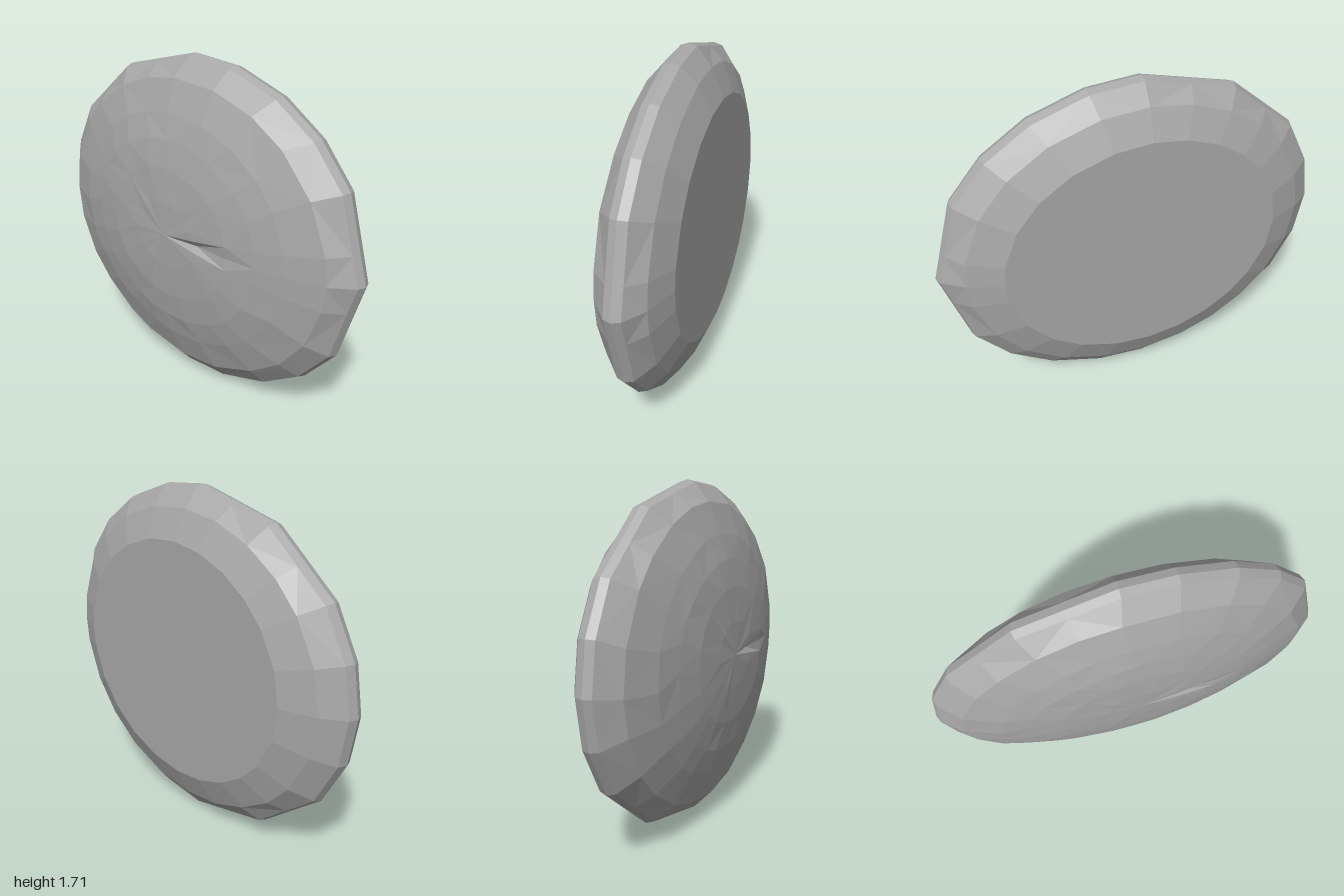
import * as THREE from 'three';

export function createModel() {
  const group = new THREE.Group();
  group.name = 'flatStone';
  const stone = new THREE.MeshStandardMaterial({ color: 0xa8a8a8, flatShading: true });
  stone.name = 'stone grey';

  const HALF_HEIGHT = 0.857;
  // Spoke angles of the upper half; mirrored below. The rim skips some of them, giving longer chords.
  const upper = [10, 28, 44, 60, 77, 92, 106, 120, 134, 147, 164];
  const spokes = [0, ...upper, 180, ...upper.map(a => 360 - a).reverse()];
  const chords = { 10: [0, 28], 106: [92, 120], 134: [120, 147] };

  // Rings from the front centre, over the rim, to the flat back: [scale, z]
  const rings = [
    [0, 0.213], [0.2, 0.209], [0.4, 0.196], [0.56, 0.172], [0.7, 0.14], [0.88, 0.083],
    [0.985, 0], [1, -0.038], [0.985, -0.08], [0.88, -0.153], [0.71, -0.215], [0, -0.215],
  ];

  const onEllipse = deg => {
    const t = THREE.MathUtils.degToRad(deg);
    return new THREE.Vector2(Math.cos(t), HALF_HEIGHT * Math.sin(t));
  };
  const onRim = deg => {
    const low = deg > 180;
    const span = chords[low ? 360 - deg : deg];
    if (!span) return onEllipse(deg);
    const a = low ? 360 - deg : deg;
    const p = onEllipse(span[0]).lerp(onEllipse(span[1]), (a - span[0]) / (span[1] - span[0]));
    if (low) p.y *= -1;
    return p;
  };
  // Small repeatable unevenness
  let seed = 7;
  const rough = () => {
    seed = (seed * 16807) % 2147483647;
    return (seed / 2147483647) * 2 - 1;
  };

  const positions = [];
  rings.forEach(([scale, depth], i) => {
    spokes.forEach(deg => {
      const uneven = i > 0 && i < 6 && deg > 10 && deg < 350;
      const turn = uneven ? 3 * rough() : 0;
      const p = (scale > 0.95 ? onRim(deg) : onEllipse(deg + turn)).multiplyScalar(scale);
      let z = depth + (uneven ? 0.003 * rough() : 0);
      // Narrow groove running from the centre towards +x
      if (deg === 0 && i === 1) z -= 0.022;
      if (deg === 0 && i === 2) z -= 0.008;
      positions.push(p.x, p.y + HALF_HEIGHT, z);
    });
  });

  // Join neighbouring rings, alternating the diagonals for irregular facets
  const n = spokes.length, index = [];
  for (let i = 0; i < rings.length - 1; i++) {
    for (let j = 0; j < n; j++) {
      const k = (j + 1) % n;
      const a = i * n + j, b = a + n, c = (i + 1) * n + k, d = i * n + k;
      if (i === 0) index.push(a, b, c);
      else if (i === rings.length - 2) index.push(a, b, d);
      else if ((i + j) % 2) index.push(a, b, c, a, c, d);
      else index.push(a, b, d, b, c, d);
    }
  }

  const indexed = new THREE.BufferGeometry();
  indexed.setAttribute('position', new THREE.Float32BufferAttribute(positions, 3));
  indexed.setIndex(index);
  const geometry = indexed.toNonIndexed();
  geometry.computeVertexNormals();

  const body = new THREE.Mesh(geometry, stone);
  body.name = 'stoneBody';
  group.add(body);
  return group;
}
